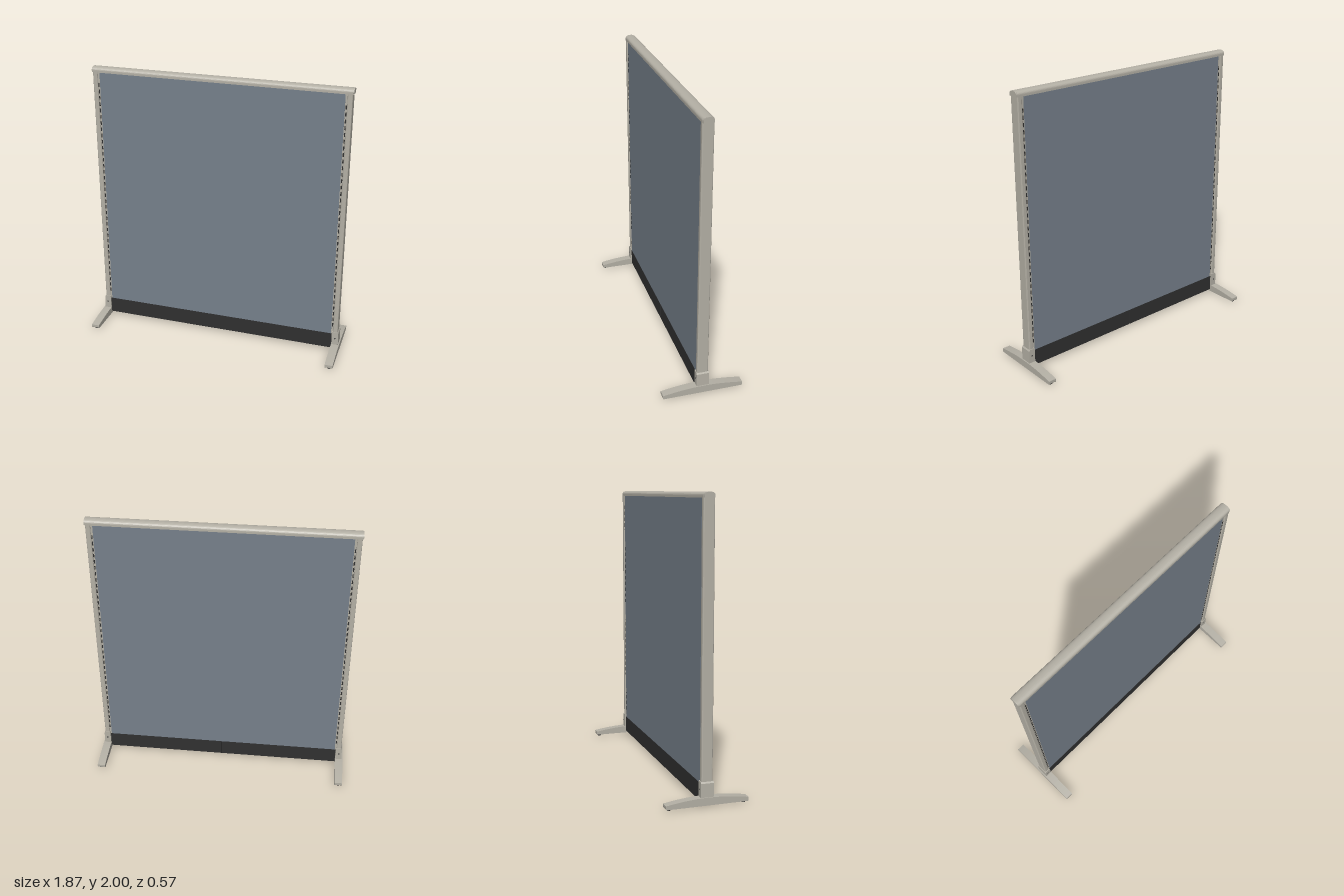
import * as THREE from 'three';

export function createModel() {
  const root = new THREE.Group();
  root.name = 'partitionScreen';
  const mat = (name, color) => {
    const m = new THREE.MeshStandardMaterial({ color });
    m.name = name;
    return m;
  };
  const metal = mat('warmGreyMetal', 0xb4b0a5);
  const fabric = mat('slateFabric', 0x76808b);
  const black = mat('blackPlastic', 0x303030);

  const add = (parent, name, geo, material, x = 0, y = 0, z = 0) => {
    const mesh = new THREE.Mesh(geo, material);
    mesh.name = name;
    mesh.position.set(x, y, z);
    parent.add(mesh);
    return mesh;
  };
  const box = (w, h, d) => new THREE.BoxGeometry(w, h, d);
  const extrude = (shape, depth, segments = 8) =>
    new THREE.ExtrudeGeometry(shape, { depth, bevelEnabled: false, curveSegments: segments });

  // Rectangle with rounded corners, used as a post cross-section
  const roundedRect = (w, h, r) => {
    const s = new THREE.Shape(), x = w / 2, y = h / 2;
    s.moveTo(-x + r, -y).lineTo(x - r, -y).quadraticCurveTo(x, -y, x, -y + r);
    s.lineTo(x, y - r).quadraticCurveTo(x, y, x - r, y);
    s.lineTo(-x + r, y).quadraticCurveTo(-x, y, -x, y - r);
    s.lineTo(-x, -y + r).quadraticCurveTo(-x, -y, -x + r, -y);
    return s;
  };

  // Domed rail section, drawn in z and y
  const railShape = (w) => {
    const s = new THREE.Shape();
    s.moveTo(-w, 0).lineTo(w, 0).lineTo(w, 0.013);
    s.bezierCurveTo(w, 0.03, w * 0.6, 0.037, 0, 0.037);
    s.bezierCurveTo(-w * 0.6, 0.037, -w, 0.03, -w, 0.013);
    return s;
  };
  const rail = extrude(railShape(0.039), 1.84, 10).rotateY(Math.PI / 2);
  add(root, 'topRail', rail, metal, -0.92, 1.963, 0);

  // Fabric panel and the two dark plinth covers with a fine gap between
  add(root, 'fabricPanel', box(1.742, 1.82, 0.064), fabric, 0, 1.055, 0);
  add(root, 'plinthCore', box(1.74, 0.11, 0.056), black, 0, 0.086, 0);

  // Arched foot profile, drawn in z and y
  const footShape = new THREE.Shape();
  footShape.moveTo(-0.275, 0.011).lineTo(0.275, 0.011);
  footShape.quadraticCurveTo(0.284, 0.012, 0.284, 0.02).lineTo(0.284, 0.037);
  footShape.quadraticCurveTo(0.16, 0.059, 0.045, 0.063).lineTo(-0.045, 0.063);
  footShape.quadraticCurveTo(-0.16, 0.059, -0.284, 0.037);
  footShape.lineTo(-0.284, 0.02).quadraticCurveTo(-0.284, 0.012, -0.275, 0.011);
  const footGeo = extrude(footShape, 0.058).rotateY(Math.PI / 2).translate(-0.029, 0, 0);

  const postGeo = extrude(roundedRect(0.035, 0.078, 0.009), 1.86, 4).rotateX(-Math.PI / 2);
  const glideGeo = new THREE.CylinderGeometry(0.014, 0.014, 0.012, 16);
  const screwGeo = new THREE.CylinderGeometry(0.005, 0.005, 0.004, 12).rotateX(Math.PI / 2);
  const slotGeo = box(0.008, 0.028, 0.003);

  for (const side of [1, -1]) {
    const group = new THREE.Group();
    group.name = side > 0 ? 'leftUpright' : 'rightUpright';
    root.add(group);

    add(group, 'plinthCover', box(0.876, 0.12, 0.066), black, side * 0.44, 0.086, 0);
    add(group, 'post', postGeo, metal, side * 0.902, 0.105, 0);
    add(group, 'endCap', extrude(railShape(0.036), 0.007, 10).rotateY(Math.PI / 2),
      metal, side * 0.9235 - 0.0035, 1.963, 0);
    add(group, 'slottedStrip', box(0.019, 1.82, 0.062), metal, side * 0.8785, 1.055, 0);
    add(group, 'foot', footGeo, metal, side * 0.907);

    // Socket clasping the post, its outer top corner cut off
    const socket = new THREE.Shape();
    socket.moveTo(0.879, 0.055).lineTo(0.928, 0.055).lineTo(0.926, 0.155);
    socket.lineTo(0.919, 0.166).lineTo(0.879, 0.166);
    const socketGeo = extrude(socket, 0.088).translate(0, 0, -0.044);
    const socketMesh = add(group, 'postSocket', socketGeo, metal);
    if (side < 0) {
      socketMesh.rotation.y = Math.PI;
    }

    for (const face of [1, -1]) {
      add(group, 'screw', screwGeo, black, side * 0.904, 0.115, face * 0.0445);
      add(group, 'footGlide', glideGeo, black, side * 0.907, 0.006, face * 0.257);
      // Row of bracket slots
      for (let i = 0; i < 36; i++) {
        add(group, 'slot', slotGeo, black, side * 0.8795, 0.22 + i * 0.0472, face * 0.0305);
      }
    }
  }
  return root;
}
